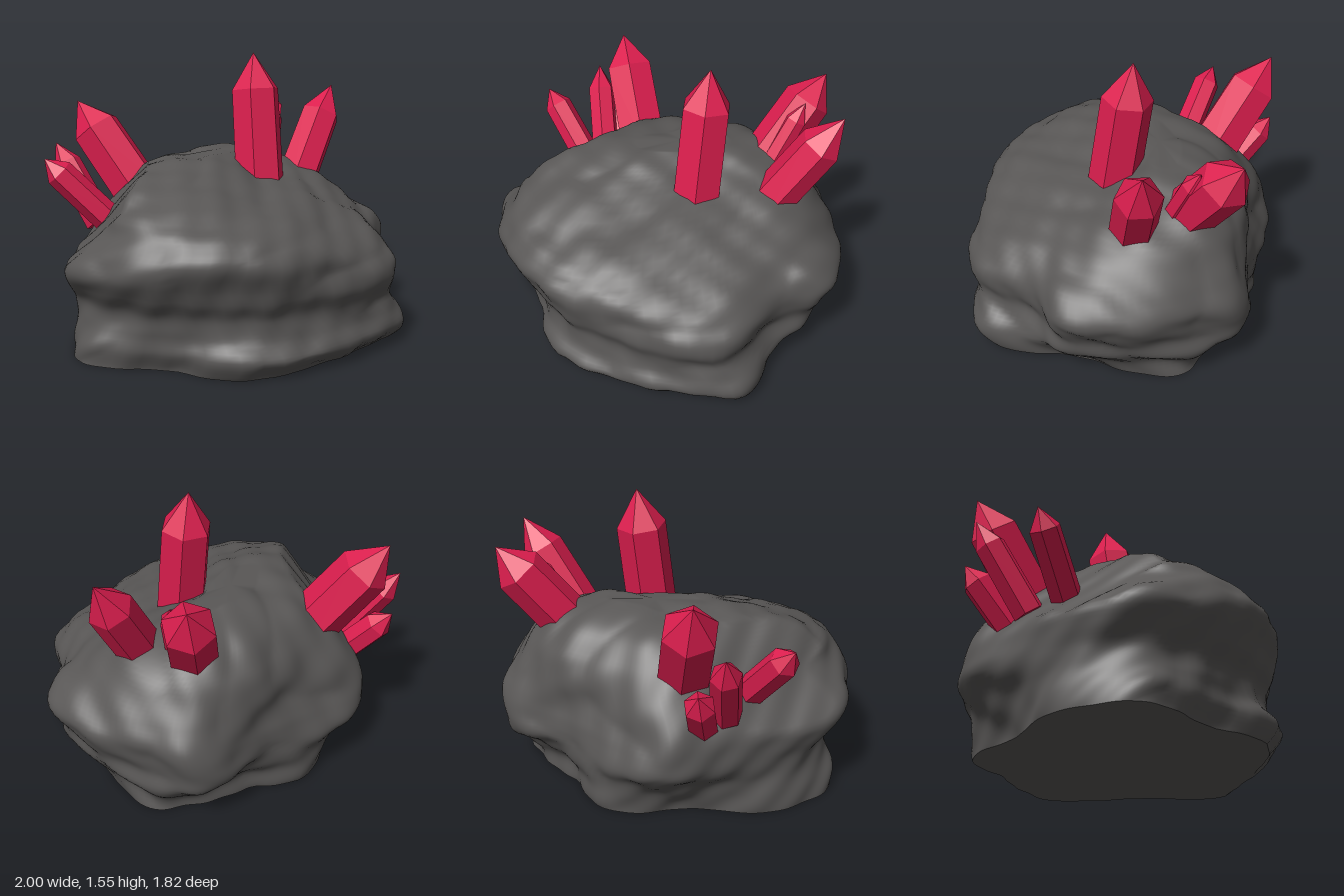
import * as THREE from 'three';

const rockMaterial = new THREE.MeshStandardMaterial({ color: 0x595756 });
const crystalMaterial = new THREE.MeshStandardMaterial({ color: 0xdc1e4e, flatShading: true });
const SIDES = 144;

// Plan outlines (x, z) of the boulder at foot, belly and shoulder, clockwise from above.
const FOOT = [
  [-0.95, -0.15], [-0.85, -0.36], [-0.66, -0.51], [-0.42, -0.57], [-0.18, -0.63], [0.12, -0.75],
  [0.45, -0.52], [0.7, -0.34], [0.84, -0.22], [0.77, 0.1], [0.64, 0.38], [0.58, 0.6],
  [0.5, 0.78], [0, 0.79], [-0.5, 0.66], [-0.75, 0.2],
];
const BELLY = [
  [-1, -0.02], [-0.94, -0.28], [-0.8, -0.45], [-0.52, -0.68], [-0.25, -0.89], [0.05, -0.81],
  [0.42, -0.65], [0.83, -0.55], [0.93, -0.28], [1, 0.06], [0.9, 0.46], [0.66, 0.58],
  [0.38, 0.9], [-0.2, 0.87], [-0.6, 0.65], [-0.9, 0.3],
];
const SHOULDER = [
  [-0.82, -0.02], [-0.72, -0.2], [-0.58, -0.34], [-0.4, -0.5], [-0.15, -0.63], [0.1, -0.6],
  [0.4, -0.55], [0.62, -0.42], [0.71, -0.25], [0.69, 0.03], [0.59, 0.17], [0.45, 0.26],
  [0.2, 0.33], [-0.25, 0.45], [-0.55, 0.44], [-0.78, 0.22],
];

// Extents of the rock at each height: y, left x, right x, back z, front z.
const LEVELS = [
  [0, -0.95, 0.85, -0.75, 0.8], [0.1, -0.95, 0.87, -0.78, 0.9], [0.2, -0.91, 0.93, -0.82, 0.87],
  [0.3, -0.89, 0.92, -0.88, 0.86], [0.4, -0.95, 0.96, -0.86, 0.89], [0.5, -1, 0.99, -0.82, 0.88],
  [0.6, -0.96, 0.93, -0.77, 0.84], [0.7, -0.88, 0.84, -0.71, 0.71], [0.8, -0.82, 0.75, -0.64, 0.47],
  [0.9, -0.65, 0.63, -0.54, 0.19], [0.96, -0.45, 0.5, -0.42, 0.05], [0.995, -0.2, 0.32, -0.28, -0.05],
];

// Sloping face across the back corner where the small crystals grow.
const SLOPE = new THREE.Plane(new THREE.Vector3(-0.707, 0.83, -0.707), -1.24).normalize();

// Soft lumps with a few sharper creases.
function lumps(x, y, z) {
  const a = Math.sin(4.3 * x + 2.1 * Math.sin(3.1 * y + z) + 0.6) * Math.sin(4.9 * z - 2.7 * y + 1.3);
  const b = Math.sin(9 * x + 3 * y + 2 * z) * Math.sin(8 * y - 7 * z + 2 * x + 0.8);
  const crease = Math.abs(Math.sin(5 * x - 4 * y + 6 * z + 1.5 * Math.sin(6 * y + 3 * x)));
  const fine = Math.sin(23 * x + 9 * y) * Math.sin(19 * z - 21 * y + 4 * x);
  return 0.01 * a + 0.011 * b + 0.014 * (crease - 0.65) + 0.008 * fine;
}

// Smooth closed outline, scaled to run from -1 to 1 both ways.
function unitOutline(points) {
  const loop = new THREE.CatmullRomCurve3(
    points.map(([x, z]) => new THREE.Vector3(x, 0, z)), true, 'centripetal'
  ).getPoints(SIDES).slice(0, SIDES);
  const { min, max } = new THREE.Box3().setFromPoints(loop);
  return loop.map((p) => new THREE.Vector3(
    THREE.MathUtils.mapLinear(p.x, min.x, max.x, -1, 1), 0,
    THREE.MathUtils.mapLinear(p.z, min.z, max.z, -1, 1)
  ));
}

function createRock() {
  const rows = 60;
  const [foot, belly, shoulder] = [FOOT, BELLY, SHOULDER].map(unitOutline);
  const extentsX = new THREE.SplineCurve(LEVELS.map((l) => new THREE.Vector2(l[1], l[2])));
  const extentsZ = new THREE.SplineCurve(LEVELS.map((l) => new THREE.Vector2(l[3], l[4])));
  const heights = new THREE.SplineCurve(LEVELS.map((l) => new THREE.Vector2(l[0], 0)));

  const positions = [], index = [];
  for (let i = 0; i <= rows; i++) {
    const t = i / rows;
    const ex = extentsX.getPoint(t), ez = extentsZ.getPoint(t), y = heights.getPoint(t).x;
    const toBelly = THREE.MathUtils.smoothstep(y, 0, 0.35);
    const toShoulder = THREE.MathUtils.smoothstep(y, 0.45, 0.8);
    for (let j = 0; j < SIDES; j++) {
      const v = foot[j].clone().lerp(belly[j], toBelly).lerp(shoulder[j], toShoulder);
      v.set(
        THREE.MathUtils.mapLinear(v.x, -1, 1, ex.x, ex.y), y,
        THREE.MathUtils.mapLinear(v.z, -1, 1, ez.x, ez.y)
      );
      v.addScaledVector(SLOPE.normal, -0.95 * Math.max(0, SLOPE.distanceToPoint(v)));
      positions.push(v.x, v.y, v.z);
    }
  }
  const apex = positions.length / 3;
  positions.push(0.06, 1.005, -0.17);
  for (let i = 0; i <= rows; i++) {
    for (let j = 0; j < SIDES; j++) {
      const a = i * SIDES + j, b = i * SIDES + (j + 1) % SIDES;
      if (i === rows) index.push(a, apex, b);
      else index.push(a, a + SIDES, b, b, a + SIDES, b + SIDES);
    }
  }
  const body = new THREE.BufferGeometry();
  body.setAttribute('position', new THREE.Float32BufferAttribute(positions, 3));
  body.setIndex(index);
  body.computeVertexNormals();

  // Weather the surface along its normals, keeping the foot flat.
  const pos = body.attributes.position, nor = body.attributes.normal;
  for (let i = 0; i < pos.count; i++) {
    const x = pos.getX(i), y = pos.getY(i), z = pos.getZ(i), d = lumps(x, y, z);
    const lift = i < SIDES ? 0 : nor.getY(i) * d;
    pos.setXYZ(i, x + nor.getX(i) * d, Math.max(0, y + lift), z + nor.getZ(i) * d);
  }
  body.computeVertexNormals();

  // Flat underside, a fan with its own vertices so the foot edge is sharp.
  const basePositions = [0, 0, 0], baseIndex = [];
  for (let j = 0; j < SIDES; j++) {
    basePositions.push(pos.getX(j), 0, pos.getZ(j));
    baseIndex.push(0, j + 1, (j + 1) % SIDES + 1);
  }
  const base = new THREE.BufferGeometry();
  base.setAttribute('position', new THREE.Float32BufferAttribute(basePositions, 3));
  base.setIndex(baseIndex);
  base.computeVertexNormals();

  const rock = new THREE.Group();
  rock.name = 'rock';
  const bodyMesh = new THREE.Mesh(body, rockMaterial);
  bodyMesh.name = 'boulder';
  const baseMesh = new THREE.Mesh(base, rockMaterial);
  baseMesh.name = 'underside';
  rock.add(bodyMesh, baseMesh);
  return rock;
}

// Six-sided prism with a pointed end, running from its root to its tip.
function createCrystal(name, root, tip, radius, shoulder, twist = 0) {
  const from = new THREE.Vector3(...root);
  const axis = new THREE.Vector3(...tip).sub(from);
  const length = axis.length();
  const profile = [[0, 0], [radius * 1.04, 0], [radius, length * shoulder], [0, length]];
  const geometry = new THREE.LatheGeometry(
    profile.map(([r, y]) => new THREE.Vector2(r, y)), 6, twist
  ).toNonIndexed();
  geometry.computeVertexNormals();
  const mesh = new THREE.Mesh(geometry, crystalMaterial);
  mesh.name = name;
  mesh.position.copy(from);
  mesh.quaternion.setFromUnitVectors(new THREE.Vector3(0, 1, 0), axis.normalize());
  return mesh;
}

export function createModel() {
  const model = new THREE.Group();
  model.name = 'crystalRock';
  model.add(createRock());

  const crystals = new THREE.Group();
  crystals.name = 'crystals';
  crystals.add(
    createCrystal('tallCrystal', [0.165, 0.82, 0.09], [0.215, 1.55, -0.01], 0.137, 0.72),
    createCrystal('leftFrontCrystal', [0.56, 0.75, 0.03], [0.92, 1.32, 0.02], 0.12, 0.7),
    createCrystal('leftBackCrystal', [0.53, 0.84, -0.26], [0.84, 1.3, -0.46], 0.135, 0.7, 0.3),
    createCrystal('leftSmallCrystal', [0.57, 0.88, -0.19], [0.73, 1.21, -0.28], 0.06, 0.72),
    createCrystal('backLargeCrystal', [-0.21, 0.72, -0.5], [-0.37, 1.26, -0.87], 0.145, 0.71, 0.2),
    createCrystal('backMediumCrystal', [-0.46, 0.59, -0.58], [-0.53, 1.03, -0.88], 0.08, 0.74),
    createCrystal('backSmallCrystal', [-0.36, 0.55, -0.66], [-0.41, 0.84, -0.91], 0.08, 0.72, 0.4),
    createCrystal('rightSmallCrystal', [-0.53, 0.64, -0.4], [-0.8, 1.0, -0.62], 0.08, 0.78)
  );
  model.add(crystals);
  return model;
}
